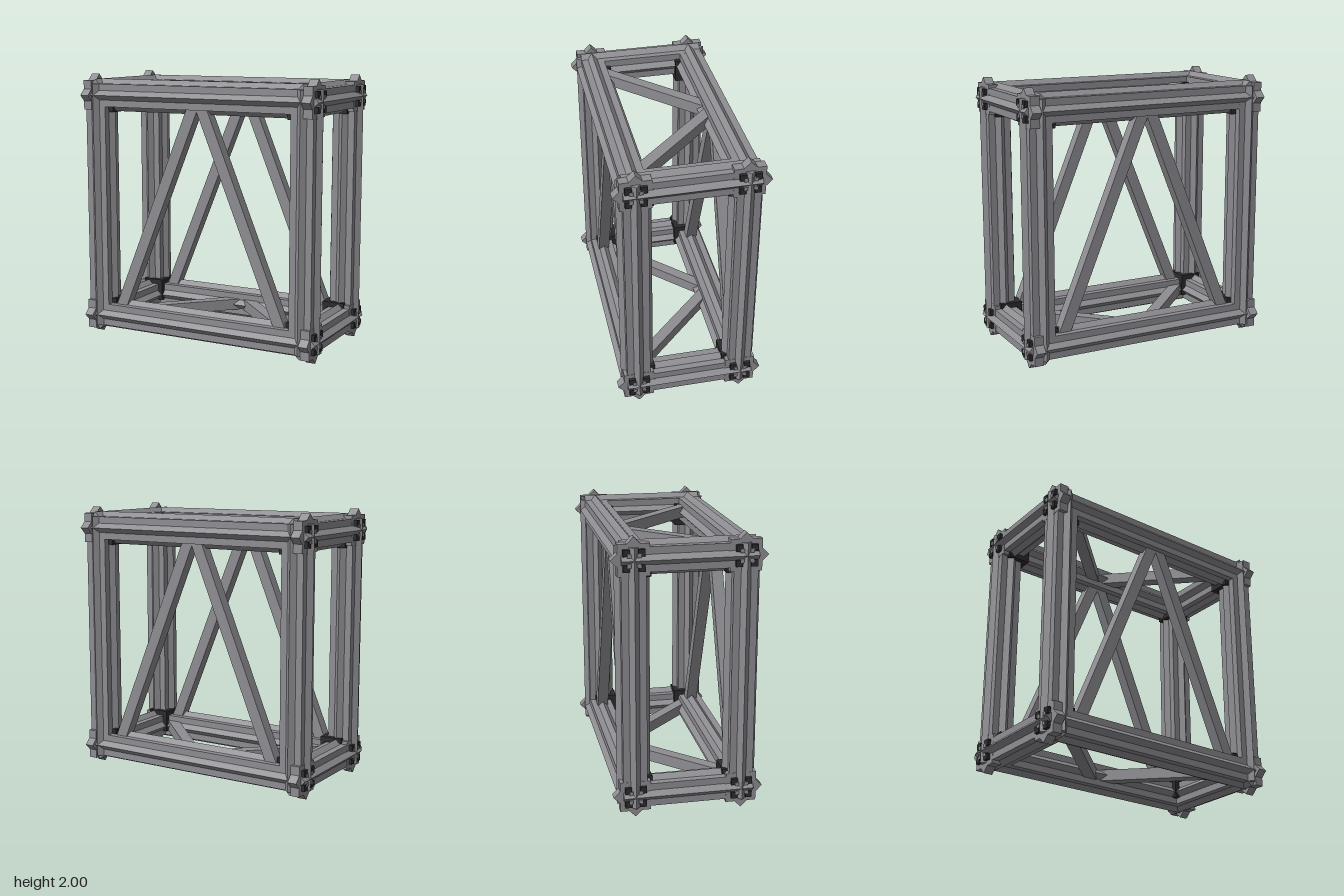
import * as THREE from 'three';

const R = 0.12;                        // tip radius of the star-shaped beam
const CX = 0.845, CY = 0.845, CZ = 0.38; // beam centre lines (y measured from mid height)
const SIGNS = [-1, 1];

// Eight-pointed star: two squares turned 45 degrees to each other
function starGeometry(radius, length) {
  const pts = [];
  for (let i = 0; i < 16; i++) {
    const a = i * Math.PI / 8;
    const r = i % 2 ? radius * 0.7654 : radius;
    pts.push(new THREE.Vector2(Math.cos(a) * r, Math.sin(a) * r));
  }
  const g = new THREE.ExtrudeGeometry(new THREE.Shape(pts), { depth: length, bevelEnabled: false });
  return g.translate(0, 0, -length / 2);
}

export function createModel() {
  const model = new THREE.Group();
  const frame = new THREE.Group();
  frame.name = 'trussFrame';
  frame.position.y = 1;
  model.add(frame);

  const steel = new THREE.MeshStandardMaterial({ color: 0x8e8d92 });
  steel.name = 'steel grey';
  const black = new THREE.MeshStandardMaterial({ color: 0x2b2b2d });
  black.name = 'fitting black';

  function add(name, geometry, material, x, y, z) {
    const mesh = new THREE.Mesh(geometry, material);
    mesh.name = name;
    mesh.position.set(x, y, z);
    frame.add(mesh);
    return mesh;
  }

  // Twelve star-section beams
  const alongX = starGeometry(R, 2 * (CX + 0.083)).rotateY(Math.PI / 2);
  const alongY = starGeometry(R, 2 * (CY + 0.085)).rotateX(Math.PI / 2);
  const alongZ = starGeometry(R, 2 * (CZ + 0.085));
  for (const a of SIGNS) for (const b of SIGNS) {
    add('longBeam', alongX, steel, 0, a * CY, b * CZ);
    add('uprightBeam', alongY, steel, a * CX, 0, b * CZ);
    add('crossBeam', alongZ, steel, a * CX, b * CY, 0);
  }

  // Corner fittings
  const collar = starGeometry(0.155, 0.068).rotateY(Math.PI / 2);
  const peg = new THREE.BoxGeometry(0.035, 0.046, 0.046);
  const pegCap = new THREE.BoxGeometry(0.036, 0.026, 0.026);
  const rodX = new THREE.BoxGeometry(0.17, 0.038, 0.038);
  const rodY = new THREE.BoxGeometry(0.038, 0.17, 0.038);
  const rodZ = new THREE.BoxGeometry(0.038, 0.038, 0.17);
  for (const sx of SIGNS) for (const sy of SIGNS) for (const sz of SIGNS) {
    add('cornerCollar', collar, steel, sx * 0.898, sy * CY, sz * CZ);
    // Four bolts with inner caps on the outer end face
    for (const p of SIGNS) for (const q of SIGNS) {
      add('endBolt', peg, black, sx * 0.938, sy * CY + p * 0.052, sz * CZ + q * 0.052);
      add('boltClip', pegCap, steel, sx * 0.939, sy * CY + p * 0.033, sz * CZ + q * 0.033);
    }
    // Three locking rods meeting at the inner corner
    const ix = CX - 0.108, iy = CY - 0.108, iz = CZ - 0.108;
    add('lockRodX', rodX, black, sx * (ix + 0.066), sy * iy, sz * iz);
    add('lockRodY', rodY, black, sx * ix, sy * (iy + 0.066), sz * iz);
    add('lockRodZ', rodZ, black, sx * ix, sy * iy, sz * (iz + 0.066));
  }

  // Square diagonal braces on the front, back, top and bottom
  function brace(name, from, to) {
    const dir = to.clone().sub(from);
    const mid = from.clone().add(to).multiplyScalar(0.5);
    const mesh = add(name, new THREE.BoxGeometry(0.085, dir.length(), 0.085), steel, mid.x, mid.y, mid.z);
    mesh.quaternion.setFromUnitVectors(new THREE.Vector3(0, 1, 0), dir.normalize());
    return mesh;
  }
  for (const s of SIGNS) for (const f of SIGNS) {
    brace('uprightBrace', new THREE.Vector3(s * 0.685, -0.81, f * CZ), new THREE.Vector3(s * 0.023, 0.8, f * CZ));
    // Flat braces lie square to the top and bottom faces
    const flat = brace('flatBrace', new THREE.Vector3(s * 0.705, f * CY, 0.33), new THREE.Vector3(s * 0.035, f * CY, -0.34));
    const dx = -s * 0.67, dz = -0.67;
    flat.rotation.set(Math.PI / 2, 0, Math.atan2(-dx, dz), 'XYZ');
  }
  return model;
}
